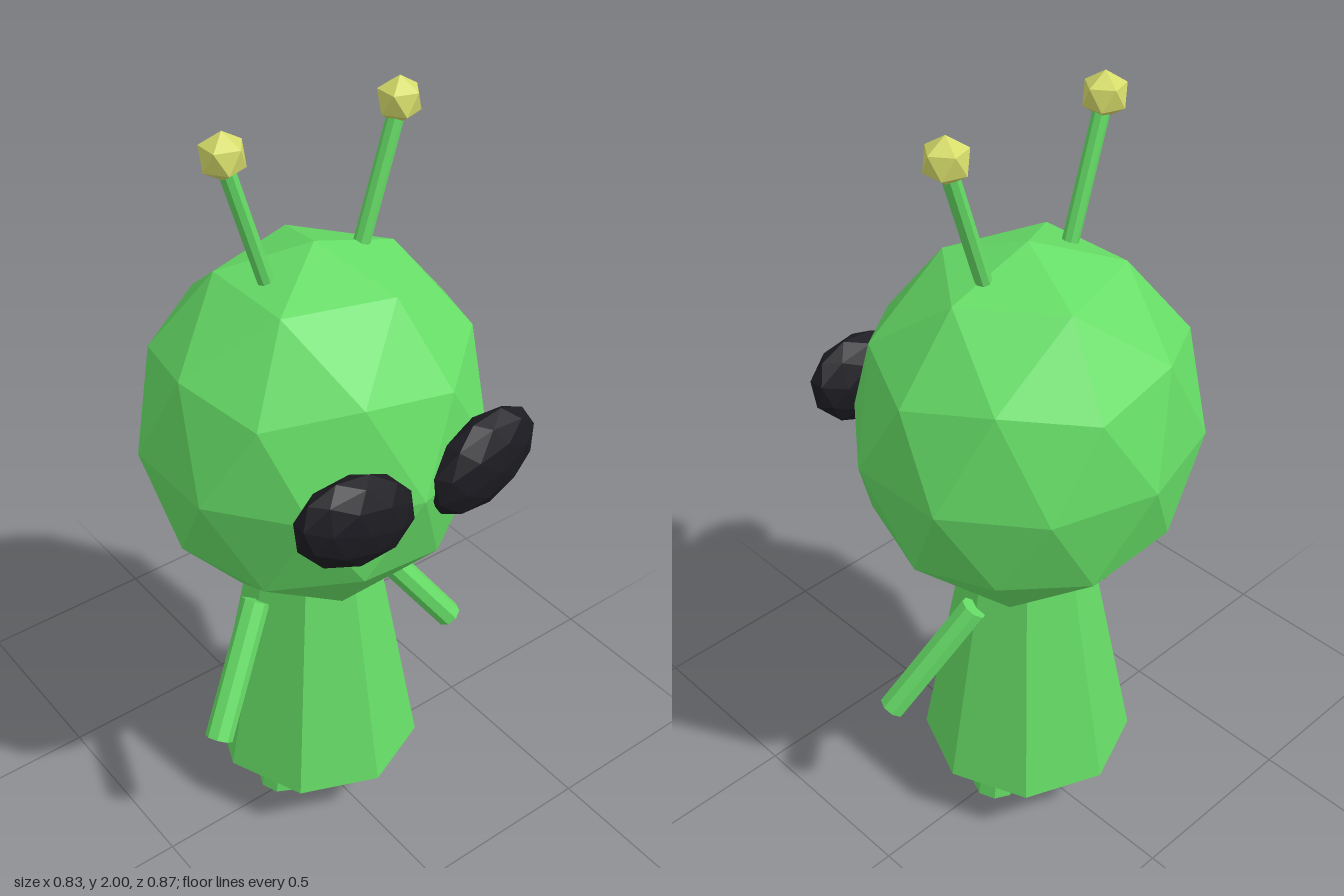
import * as THREE from 'three';

const material = (color) => new THREE.MeshStandardMaterial({ color, flatShading: true, roughness: 0.8 });
const Z = -0.02; // depth of the body axis

// Icosphere with its five-fold axis pointing up
function icosphere(detail, rx, ry, rz) {
  return new THREE.IcosahedronGeometry(1, detail)
    .rotateX(-Math.atan((1 + Math.sqrt(5)) / 2))
    .rotateY(Math.PI / 2)
    .scale(rx, ry, rz);
}

// Eight-sided rod between two points
function rod(name, from, to, radius, mat) {
  const a = new THREE.Vector3(...from);
  const b = new THREE.Vector3(...to);
  const dir = b.clone().sub(a);
  const mesh = new THREE.Mesh(new THREE.CylinderGeometry(radius, radius, dir.length(), 8), mat);
  mesh.name = name;
  mesh.position.copy(a).add(b).multiplyScalar(0.5);
  mesh.quaternion.setFromUnitVectors(new THREE.Vector3(0, 1, 0), dir.normalize());
  return mesh;
}

export function createModel() {
  const model = new THREE.Group();
  model.name = 'alienFigure';
  const green = material(0x66dd66);
  const black = material(0x1c1b21);
  const yellow = material(0xd6dc6a);

  const add = (name, geometry, mat, x, y, z) => {
    const mesh = new THREE.Mesh(geometry, mat);
    mesh.name = name;
    mesh.position.set(x, y, z);
    model.add(mesh);
    return mesh;
  };

  // Head and tapered body
  add('head', icosphere(1, 0.437, 0.475, 0.413), green, 0, 1.2, Z);
  add('body', new THREE.CylinderGeometry(0.162, 0.28, 0.63, 8), green, 0, 0.485, Z);

  // Paired parts
  for (const [side, s] of [['left', 1], ['right', -1]]) {
    // Slanted eye, outer end raised
    const eyeShape = icosphere(1, 0.162, 0.118, 0.065);
    if (s < 0) eyeShape.rotateY(Math.PI);
    const eye = add(side + 'Eye', eyeShape, black, s * 0.183, 1.222, 0.37);
    eye.rotation.set(0, s * 0.06, s * 0.3);

    // Antenna with a faceted tip
    model.add(rod(side + 'AntennaStalk', [s * 0.12, 1.58, Z], [s * 0.233, 1.94, Z], 0.02, green));
    add(side + 'AntennaTip', icosphere(0, 0.055, 0.055, 0.055), yellow, s * 0.232, 1.945, Z);

    // Arm reaching out and forward, leg splayed slightly
    model.add(rod(side + 'Arm', [s * 0.385, 0.425, 0.085], [s * 0.187, 0.712, Z], 0.036, green));
    model.add(rod(side + 'Leg', [s * 0.125, 0.008, Z], [s * 0.09, 0.3, Z], 0.06, green));
  }
  return model;
}
